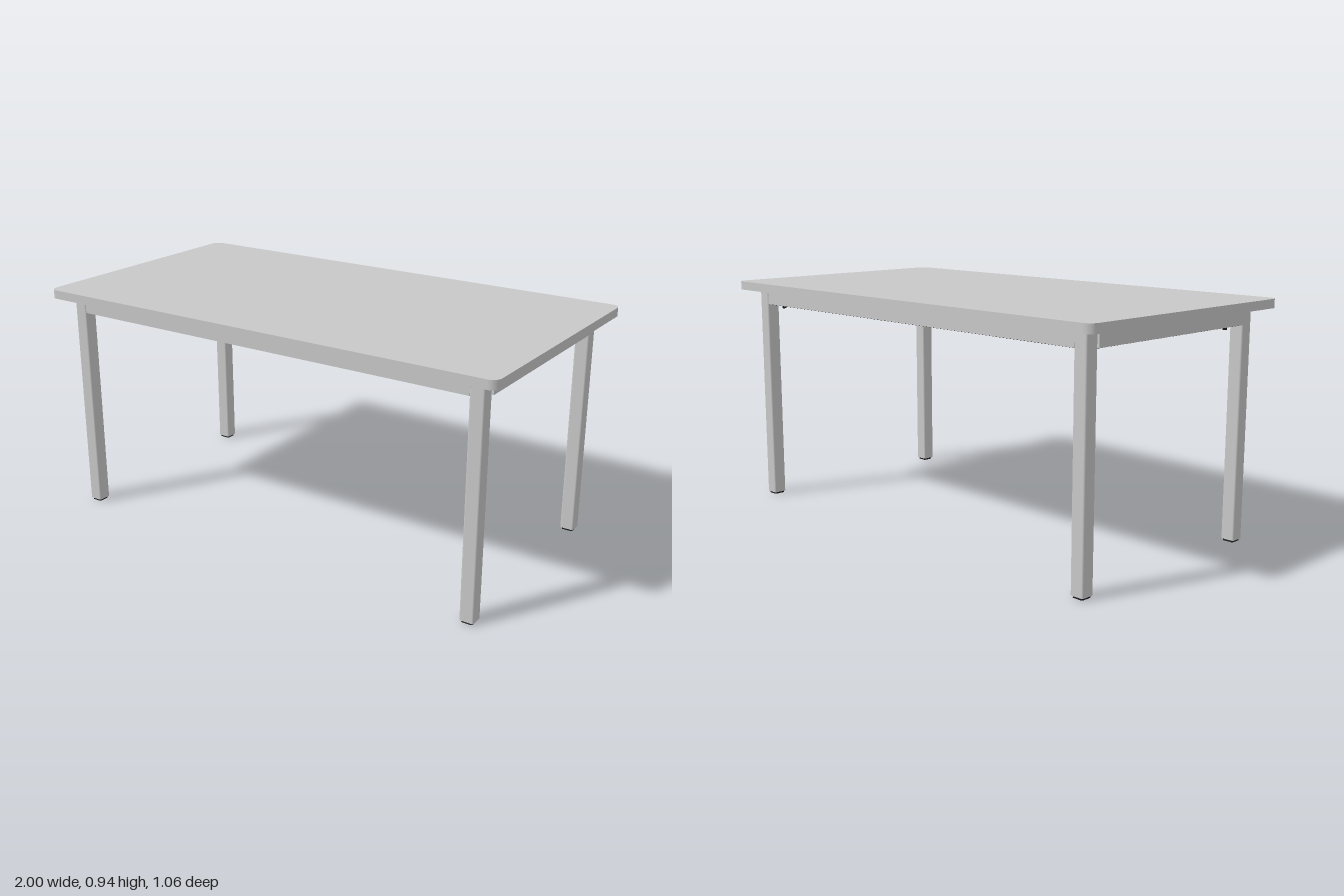
import * as THREE from 'three';

const grey = new THREE.MeshStandardMaterial({ color: 0xc8c8c8 });
grey.name = 'light grey';
const darkGreen = new THREE.MeshStandardMaterial({ color: 0x465046 });
darkGreen.name = 'dark green grey';
const black = new THREE.MeshStandardMaterial({ color: 0x1c1c1c });
black.name = 'black';

// Rounded rectangle in plan, extruded upwards from y0 to y1
function slab(w, d, r, y0, y1) {
  const x = w / 2, z = d / 2;
  const s = new THREE.Shape();
  s.moveTo(-x + r, -z);
  s.lineTo(x - r, -z);
  s.absarc(x - r, -z + r, r, -Math.PI / 2, 0, false);
  s.lineTo(x, z - r);
  s.absarc(x - r, z - r, r, 0, Math.PI / 2, false);
  s.lineTo(-x + r, z);
  s.absarc(-x + r, z - r, r, Math.PI / 2, Math.PI, false);
  s.lineTo(-x, -z + r);
  s.absarc(-x + r, -z + r, r, Math.PI, Math.PI * 1.5, false);
  const g = new THREE.ExtrudeGeometry(s, { depth: y1 - y0, bevelEnabled: false, curveSegments: 8 });
  return g.rotateX(-Math.PI / 2).translate(0, y0, 0);
}

function add(parent, name, geometry, material, x = 0, y = 0, z = 0) {
  const mesh = new THREE.Mesh(geometry, material);
  mesh.name = name;
  mesh.position.set(x, y, z);
  parent.add(mesh);
  return mesh;
}

const box = (w, h, d) => new THREE.BoxGeometry(w, h, d);

// Channel rail: outer face at local z = 0, inside towards -z
function makeApron(name, length) {
  const g = new THREE.Group();
  g.name = name;
  add(g, 'apronFace', box(length, 0.06, 0.012), grey, 0, 0.875, -0.006);
  add(g, 'apronLining', box(length, 0.054, 0.006), darkGreen, 0, 0.876, -0.015);
  add(g, 'apronBottomFlange', box(length, 0.006, 0.03), black, 0, 0.845, -0.027);
  add(g, 'apronTopFlange', box(length, 0.004, 0.03), black, 0, 0.903, -0.027);
  // Fixing tab under the top at mid length, and screws along the inside
  add(g, 'fixingTab', box(0.045, 0.008, 0.035), black, 0, 0.901, -0.058);
  for (const t of [-0.3, 0, 0.3]) {
    const screw = add(g, 'railScrew', new THREE.CylinderGeometry(0.006, 0.006, 0.005, 10), black, t * length, 0.875, -0.02);
    screw.rotation.x = Math.PI / 2;
  }
  return g;
}

// Leg with foot and corner clamp
function makeLeg(sx, sz) {
  const g = new THREE.Group();
  g.name = 'leg';
  const x = sx * 0.9, z = sz * 0.438;
  add(g, 'legPost', slab(0.056, 0.055, 0.007, 0.008, 0.9), grey, x, 0, z);
  add(g, 'legSpacer', box(0.045, 0.006, 0.045), grey, x, 0.903, z);
  add(g, 'foot', slab(0.045, 0.045, 0.006, 0, 0.008), black, x, 0, z);
  // Clamp plate set diagonally across the frame corner, with two bolts
  const clamp = new THREE.Group();
  clamp.name = 'cornerClamp';
  clamp.position.set(sx * 0.862, 0, sz * 0.385);
  clamp.rotation.y = sx * sz * Math.PI / 4;
  add(clamp, 'clampPlate', box(0.06, 0.007, 0.014), black, 0, 0.836, 0);
  for (const t of [-0.024, 0.024]) {
    add(clamp, 'clampBolt', new THREE.CylinderGeometry(0.004, 0.004, 0.025, 10), black, t, 0.845, 0);
    add(clamp, 'clampNut', new THREE.CylinderGeometry(0.008, 0.008, 0.014, 6), black, t, 0.832, 0);
  }
  g.add(clamp);
  return g;
}

export function createModel() {
  const table = new THREE.Group();
  table.name = 'table';

  add(table, 'tableTop', slab(2, 1.06, 0.035, 0.905, 0.94), grey);

  for (const s of [-1, 1]) {
    const turn = s > 0 ? 0 : Math.PI;
    // Long rails front and back
    const long = makeApron(s > 0 ? 'frontApron' : 'backApron', 1.745);
    long.position.z = s * 0.463;
    long.rotation.y = turn;
    table.add(long);
    // Short rails at the ends
    const short = makeApron(s > 0 ? 'leftApron' : 'rightApron', 0.822);
    short.position.x = s * 0.934;
    short.rotation.y = s * Math.PI / 2;
    table.add(short);
    for (const t of [-1, 1]) table.add(makeLeg(s, t));
  }
  return table;
}
